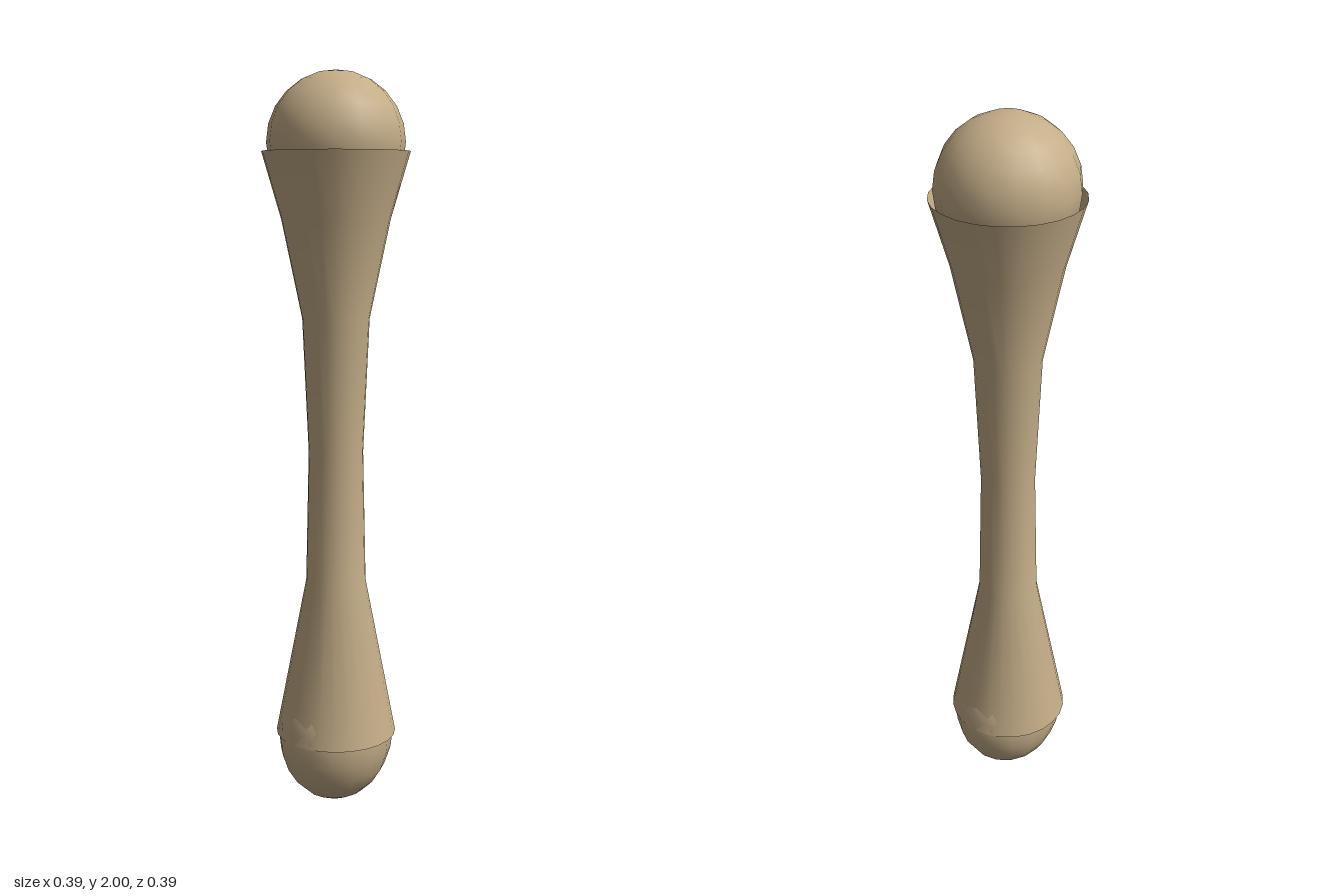
import * as THREE from 'three';

export function createModel() {
  const model = new THREE.Group();
  model.name = 'bone';
  const material = new THREE.MeshStandardMaterial({ color: 0xc4ad88, side: THREE.DoubleSide });

  function add(name, geometry) {
    const mesh = new THREE.Mesh(geometry, material);
    mesh.name = name;
    model.add(mesh);
    return mesh;
  }

  // Open-ended shaft, flared at both ends: [radius, height]
  const profile = [
    [0.167, 0.2], [0.082, 0.64], [0.074, 1.0],
    [0.09, 1.36], [0.144, 1.62], [0.195, 1.795],
  ].map(([r, y]) => new THREE.Vector2(r, y));
  add('shaft', new THREE.LatheGeometry(profile, 24));

  // Round knob seated in the upper flare
  add('upperKnob', new THREE.SphereGeometry(0.182, 16, 12)).position.y = 1.818;

  // Lower knob, narrower in x and taller in y
  const lowerKnob = add('lowerKnob', new THREE.SphereGeometry(1, 16, 12));
  lowerKnob.scale.set(0.153, 0.196, 0.168);
  lowerKnob.position.y = 0.196;

  return model;
}
